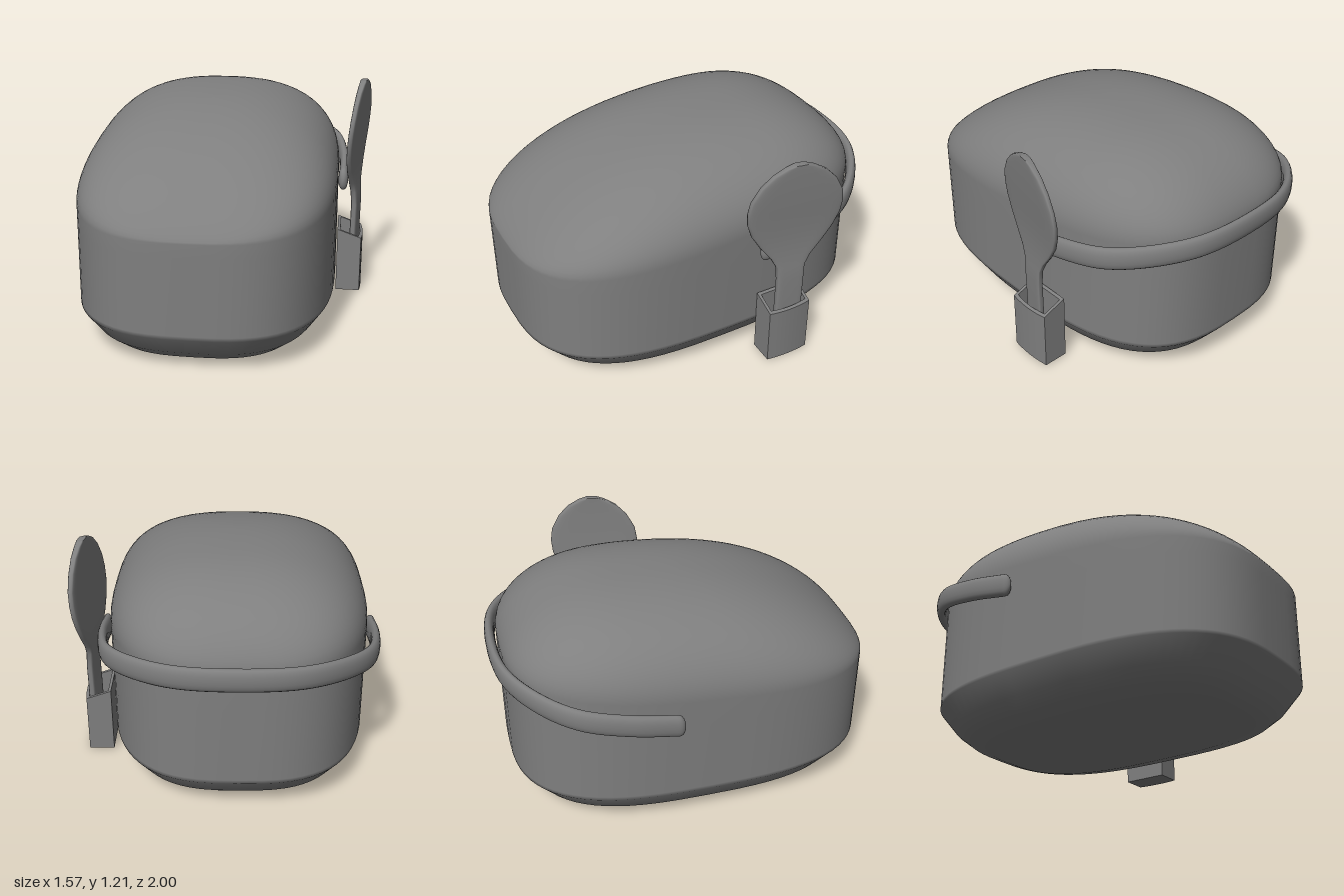
import * as THREE from 'three';

const material = new THREE.MeshStandardMaterial({ color: 0x7f7f7f, side: THREE.DoubleSide });
const CX = -0.057, CZ = 0.03, HALF_W = 0.675, HALF_L = 0.967, N = 2.9;

// Closed superellipse outline as pairs
function outline(halfA, halfB, n, segments) {
  const power = (v) => Math.sign(v) * Math.abs(v) ** (2 / n);
  return Array.from({ length: segments }, (_, i) => {
    const a = (i / segments) * Math.PI * 2;
    return [halfA * power(Math.cos(a)), halfB * power(Math.sin(a))];
  });
}

// Skin over a stack of rings of [x, y, z]; a repeated ring gives a hard edge
function loft(rings) {
  const n = rings[0].length, index = [];
  for (let i = 0; i < rings.length - 1; i++) {
    for (let j = 0; j < n; j++) {
      const a = i * n + j, b = i * n + (j + 1) % n;
      index.push(a, a + n, b, b, a + n, b + n);
    }
  }
  const geometry = new THREE.BufferGeometry();
  geometry.setAttribute('position', new THREE.Float32BufferAttribute(rings.flat(2), 3));
  geometry.setIndex(index);
  geometry.computeVertexNormals();
  return geometry;
}

function addMesh(parent, name, geometry) {
  const mesh = new THREE.Mesh(geometry, material);
  mesh.name = name;
  parent.add(mesh);
}

// Height of the lid: a sloping rim with a ridge that rises steeply at the back
function lidHeight(x, z) {
  const zn = Math.min(1, Math.abs(z) / HALF_L);
  const width = HALF_W * (1 - zn ** N) ** (1 / N);
  const u = width > 1e-4 ? Math.min(1, Math.abs(x) / width) : 0;
  const rim = 0.765 - 0.075 * (z / HALF_L);
  const d = z + CZ + 0.3;
  const ridge = d > 0
    ? 0.69 + 0.484 * Math.max(0, 1 - (d / 1.297) ** 2.3) ** 0.79
    : 0.84 + 0.334 * Math.max(0, 1 - (-d / 0.637) ** 2.33) ** 0.6;
  return rim + Math.max(0, ridge - rim) * Math.sqrt(1 - u ** 2.5);
}

function bodyGeometry() {
  // Underside, lower bevel and wall: [y, half width, half length]
  const base = [
    [0, 0, 0], [0, 0.42, 0.725], [0.03, 0.54, 0.805], [0.09, 0.605, 0.88],
    [0.2, HALF_W, HALF_L], [0.22, HALF_W, HALF_L], [0.62, HALF_W, HALF_L],
  ];
  const rings = base.map(([y, w, l]) =>
    outline(w, l, N, 72).map(([x, z]) => [x + CX, y, z + CZ]));
  // Lid
  const rim = outline(HALF_W, HALF_L, N, 72);
  for (let i = 0; i <= 20; i++) {
    const s = Math.cos((i / 20) * Math.PI / 2);
    rings.push(rim.map(([x, z]) => [x * s + CX, lidHeight(x * s, z * s), z * s + CZ]));
  }
  return loft(rings);
}

// Flattened bar around the back, rising toward the rear, with rounded ends
function handleGeometry() {
  const half = [[0.7, -0.13], [0.698, -0.4], [0.648, -0.635], [0.52, -0.8], [0.3, -0.935]];
  const path = new THREE.CatmullRomCurve3(
    [...half, [0, -0.973], ...half.map(([x, z]) => [-x, z]).reverse()]
      .map(([x, z]) => new THREE.Vector3(x + CX, 0, z)));
  const section = outline(0.027, 0.063, 2.2, 18);
  const length = path.getLength(), rings = [];
  for (let i = 0; i <= 80; i++) {
    const u = 0.5 - 0.5 * Math.cos((i / 80) * Math.PI);
    const p = path.getPointAt(u), t = path.getTangentAt(u);
    const k = Math.min(1, (Math.min(u, 1 - u) * length) / 0.035);
    const size = Math.sqrt(1 - (1 - k) ** 2);
    rings.push(section.map(([across, up]) => {
      const z = p.z + t.x * across * size;
      return [p.x - t.z * across * size, 0.662 - 0.19 * (z + 0.14) + up * size, z];
    }));
  }
  return loft(rings);
}

// Flat spoon, turned slightly: rows of height, half width, middle x
function paddleGeometry() {
  const rows = [
    [0.06, 0.07, 0.715], [0.35, 0.07, 0.718], [0.5, 0.07, 0.72], [0.58, 0.074, 0.715],
    [0.64, 0.105, 0.71], [0.72, 0.165, 0.708], [0.8, 0.213, 0.71], [0.88, 0.24, 0.716],
    [0.95, 0.246, 0.722], [1.02, 0.235, 0.728], [1.1, 0.192, 0.733], [1.16, 0.135, 0.736],
    [1.195, 0.075, 0.737], [1.21, 0.03, 0.737],
  ];
  const ring = ([y, w, xc], t) =>
    outline(t, w, 5, 28).map(([x, z]) => [xc + x - 0.2 * z, y, z - 0.265]);
  const rings = rows.map((row) => ring(row, 0.018));
  rings.unshift(ring([0.06, 0, 0.715], 0), rings[0]);
  rings.push(rings[rings.length - 1], ring([1.212, 0, 0.737], 0));
  return loft(rings);
}

// Plan of the holder: flat against the body, bulging slightly outward
function holderPlan(inset, Type) {
  const x0 = 0.622 + inset, x1 = 0.755 - inset, w = 0.122 - inset;
  const s = new Type();
  s.moveTo(x0, 0.257 - w);
  s.lineTo(x1, 0.257 - w);
  s.quadraticCurveTo(x1 + 0.02, 0.257, x1, 0.257 + w);
  s.lineTo(x0, 0.257 + w);
  s.closePath();
  return s;
}

function addHolder(parent) {
  const holder = new THREE.Group();
  holder.name = 'paddleHolder';
  const extrude = (plan, bottom, height) =>
    new THREE.ExtrudeGeometry(plan, { depth: height, bevelEnabled: false, curveSegments: 10 })
      .rotateX(-Math.PI / 2).translate(0, bottom, 0);
  const plan = holderPlan(0, THREE.Shape);
  plan.holes.push(holderPlan(0.016, THREE.Path));
  const walls = extrude(plan, 0.03, 0.345);
  // Top edge slopes down toward the outside
  const p = walls.attributes.position;
  for (let i = 0; i < p.count; i++) {
    if (p.getY(i) > 0.2) p.setY(i, 0.375 - 0.36 * (p.getX(i) - 0.622));
  }
  walls.computeVertexNormals();
  addMesh(holder, 'holderWalls', walls);
  addMesh(holder, 'holderFloor', extrude(holderPlan(0, THREE.Shape), 0.008, 0.022));
  parent.add(holder);
}

export function createModel() {
  const model = new THREE.Group();
  model.name = 'riceCooker';
  addMesh(model, 'body', bodyGeometry());
  addMesh(model, 'handle', handleGeometry());
  addMesh(model, 'paddle', paddleGeometry());
  addHolder(model);
  return model;
}
